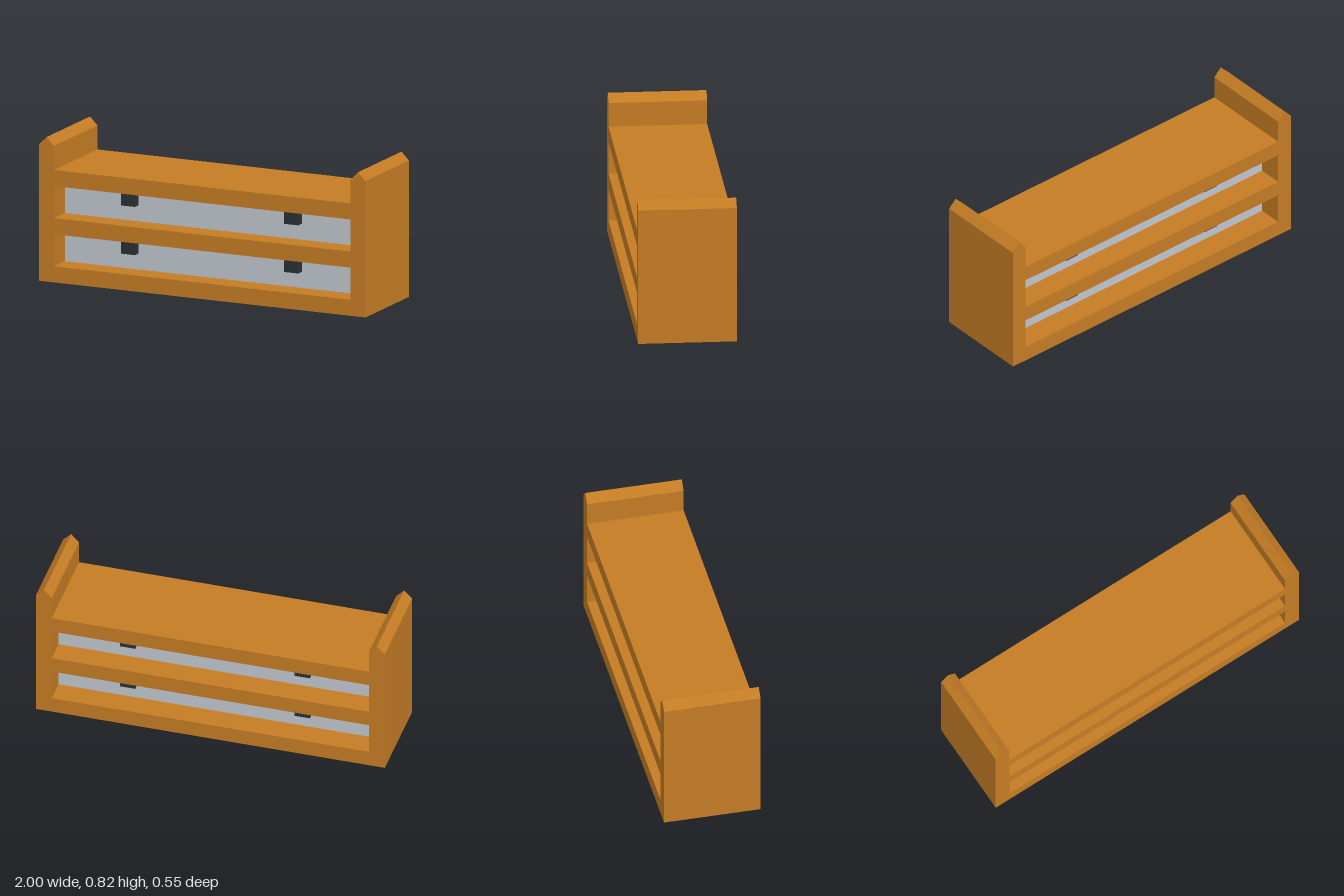
import * as THREE from 'three';

const U = 1 / 11; // board thickness; everything is a multiple of it
const DEPTH = 6 * U;

const wood = new THREE.MeshStandardMaterial({ color: 0xc47c24, flatShading: true });
const panelGrey = new THREE.MeshStandardMaterial({ color: 0xc0c5ce, flatShading: true });
const dark = new THREE.MeshStandardMaterial({ color: 0x2c3033, flatShading: true });

const points = (list) => list.map(([x, y]) => new THREE.Vector2(x * U, y * U));

function addBox(group, name, size, pos, material) {
  const mesh = new THREE.Mesh(new THREE.BoxGeometry(...size.map((v) => v * U)), material);
  mesh.position.set(...pos.map((v) => v * U));
  mesh.name = name;
  group.add(mesh);
}

export function createModel() {
  const model = new THREE.Group();
  model.name = 'lowCabinet';

  // Frame: outline with raised, ridged side boards and two drawer openings
  const outline = new THREE.Shape(points([
    [-11, 0], [11, 0], [11, 8.5], [10.5, 9], [10, 8.5], [10, 7],
    [-10, 7], [-10, 8.5], [-10.5, 9], [-11, 8.5],
  ]));
  const openings = [1, 4]; // bottom edge of each opening
  for (const y of openings) {
    outline.holes.push(new THREE.Path(points([
      [-10, y], [-10, y + 2], [10, y + 2], [10, y],
    ])));
  }
  const frameGeometry = new THREE.ExtrudeGeometry(outline, { depth: DEPTH, bevelEnabled: false });
  frameGeometry.translate(0, 0, -DEPTH / 2);
  const frame = new THREE.Mesh(frameGeometry, wood);
  frame.name = 'frame';
  model.add(frame);

  // Recessed drawer blocks, with pulls on both front and back
  openings.forEach((y, row) => {
    const drawer = new THREE.Group();
    drawer.name = row === 0 ? 'lowerDrawer' : 'upperDrawer';
    addBox(drawer, 'drawerPanel', [20, 2, 3], [0, y + 1, 0], panelGrey);
    for (const side of [-1, 1]) {
      for (const face of [-1, 1]) {
        addBox(drawer, 'handle', [0.96, 1, 0.5], [side * 5.5, y + 1.5, face * 1.75], dark);
      }
    }
    model.add(drawer);
  });

  return model;
}
